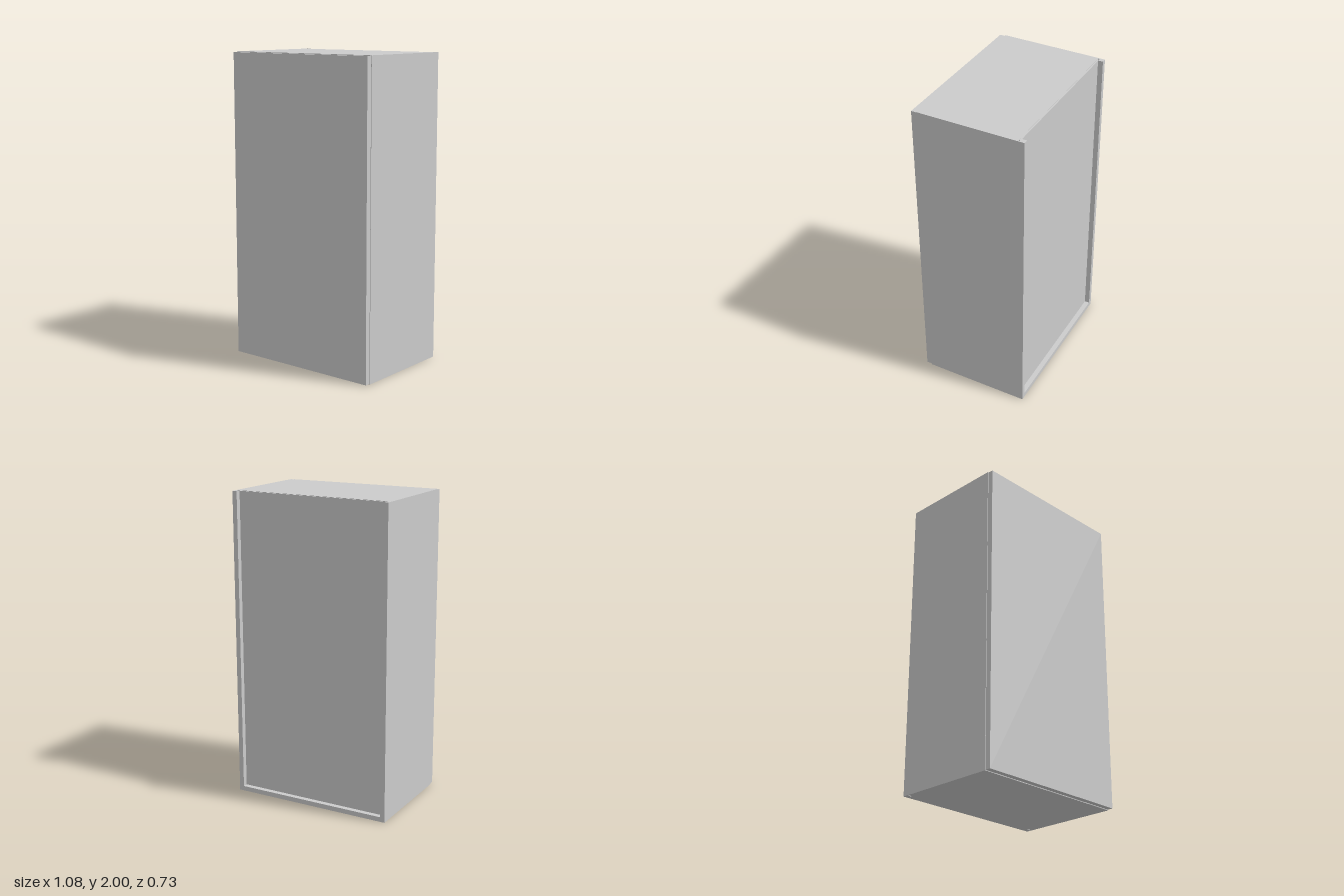
import * as THREE from 'three';

const W = 0.54;        // half width
const H = 2;           // height
const BACK = -0.367;   // rear edge of the carcass
const FRONT = 0.33;    // front edge of the carcass
const T = 0.031;       // board thickness
const GROOVE = { z0: -0.334, z1: -0.324, x: 0.531 };

const material = new THREE.MeshStandardMaterial({ color: 0xcccccc, flatShading: true });

// Board given by its extents on each axis
function board(name, [x0, x1], [y0, y1], [z0, z1]) {
  const mesh = new THREE.Mesh(new THREE.BoxGeometry(x1 - x0, y1 - y0, z1 - z0), material);
  mesh.position.set((x0 + x1) / 2, (y0 + y1) / 2, (z0 + z1) / 2);
  mesh.name = name;
  return mesh;
}

// Upright side board with a groove that holds the back panel
function sideBoard(name, side) {
  const inner = W - T;
  const plan = [
    [W, BACK], [W, FRONT], [inner, FRONT], [inner, GROOVE.z1],
    [GROOVE.x, GROOVE.z1], [GROOVE.x, GROOVE.z0], [inner, GROOVE.z0], [inner, BACK],
  ].map(([x, z]) => new THREE.Vector2(side * x, -z));
  const geometry = new THREE.ExtrudeGeometry(new THREE.Shape(plan), { depth: H, bevelEnabled: false });
  geometry.rotateX(-Math.PI / 2); // plan lies in xz, extruded upward
  const mesh = new THREE.Mesh(geometry, material);
  mesh.name = name;
  return mesh;
}

export function createModel() {
  const cabinet = new THREE.Group();
  cabinet.name = 'cabinet';
  const inner = W - T;

  // Carcass: the top stops at the back panel, the bottom runs the full depth
  cabinet.add(
    sideBoard('leftSide', 1),
    sideBoard('rightSide', -1),
    board('topBoard', [-inner, inner], [H - T, H], [GROOVE.z1, FRONT]),
    board('bottomBoard', [-inner, inner], [0, T], [BACK, FRONT]),
  );

  // Thin back panel, slid into the side grooves
  cabinet.add(board('backPanel', [-0.523, 0.523], [T, H - 0.002], [GROOVE.z0, GROOVE.z1]));

  // Single plain door, slightly smaller than the carcass front
  cabinet.add(board('door', [-W + 0.003, W - 0.003], [0.004, H - 0.004], [FRONT + 0.001, -BACK]));

  return cabinet;
}
